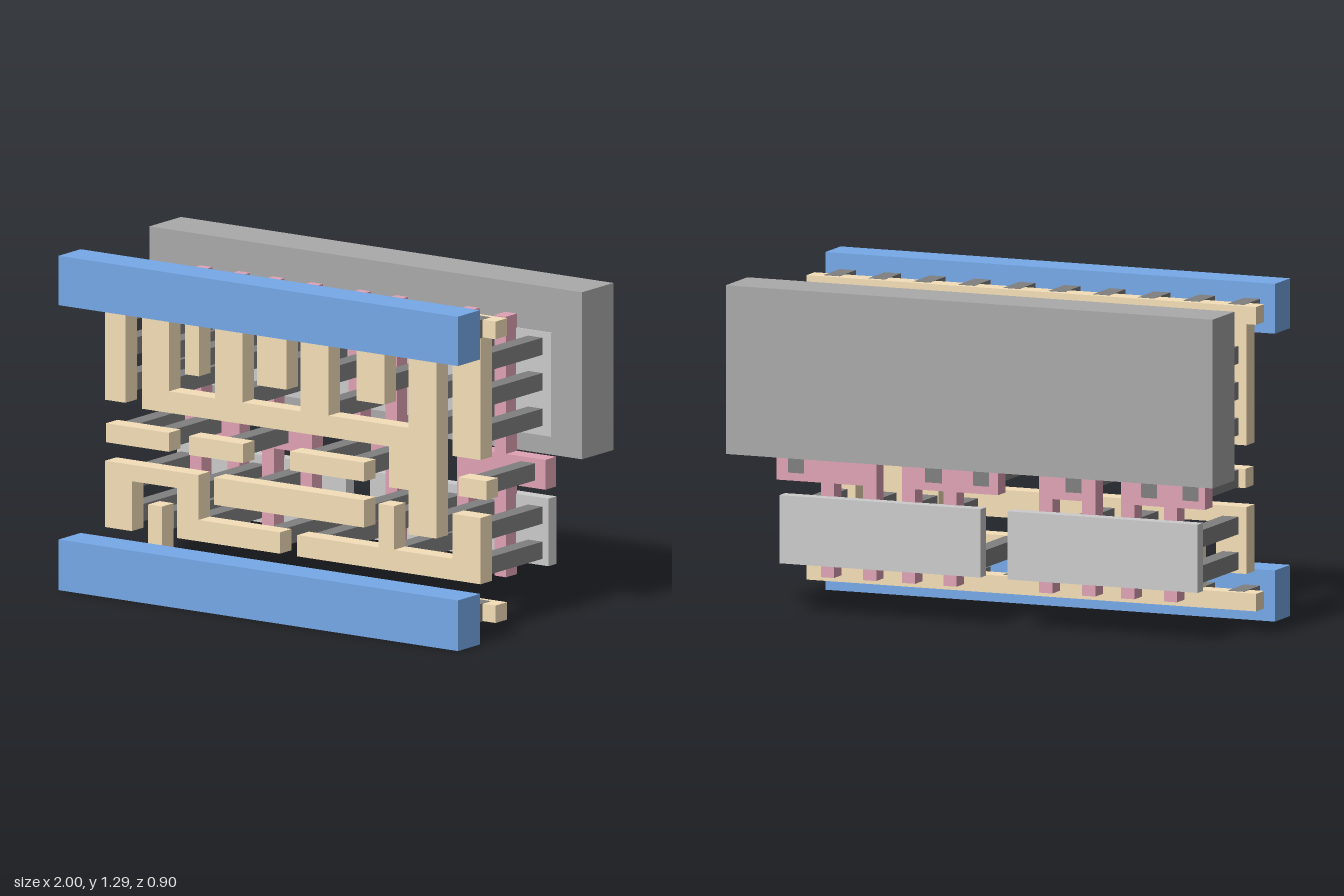
import * as THREE from 'three';

const material = (color) => new THREE.MeshStandardMaterial({ color });
const blue = material(0x76a9e8);
const tan = material(0xf5dfb8);
const pink = material(0xe0a3b5);
const darkGrey = material(0x808080);
const midGrey = material(0xaaaaaa);
const lightGrey = material(0xcccccc);

// Box given by its extents on each axis
function block(name, mat, [x0, x1], [y0, y1], [z0, z1]) {
  const mesh = new THREE.Mesh(new THREE.BoxGeometry(x1 - x0, y1 - y0, z1 - z0), mat);
  mesh.position.set((x0 + x1) / 2, (y0 + y1) / 2, (z0 + z1) / 2);
  mesh.name = name;
  return mesh;
}

// Flat outline in x and y, extruded between two depths
function plate(name, mat, points, [z0, z1]) {
  const shape = new THREE.Shape(points.map(([x, y]) => new THREE.Vector2(x, y)));
  const geometry = new THREE.ExtrudeGeometry(shape, { depth: z1 - z0, bevelEnabled: false });
  const mesh = new THREE.Mesh(geometry, mat);
  mesh.position.z = z0;
  mesh.name = name;
  return mesh;
}

const rect = (x0, x1, y0, y1) => [[x0, y0], [x1, y0], [x1, y1], [x0, y1]];

export function createModel() {
  const model = new THREE.Group();
  const layer = (name) => {
    const group = new THREE.Group();
    group.name = name;
    model.add(group);
    return group;
  };

  // Back slab and thin plates
  const base = layer('baseLayer');
  const plateZ = [-0.292, -0.24];
  base.add(
    block('backSlab', midGrey, [-1, 1], [0.625, 1.268], [-0.448, -0.245]),
    block('upperPlate', lightGrey, [-0.87, 0.862], [0.695, 1.095], plateZ),
    block('lowerPlateRight', lightGrey, [-0.87, -0.088], [0.195, 0.455], plateZ),
    block('lowerPlateLeft', lightGrey, [0.022, 0.848], [0.195, 0.455], plateZ),
  );

  // Pink upright strips joined by pads at mid height
  const strips = layer('stripLayer');
  const stripZ = [-0.245, -0.175];
  const padY = [0.505, 0.62];
  const strip = (x, y0, y1) =>
    strips.add(block('strip', pink, [x - 0.027, x + 0.027], [y0, y1], stripZ));
  for (const x of [-0.737, -0.562, -0.402, -0.225, -0.002, 0.168, 0.498, 0.672]) strip(x, padY[1], 1.148);
  for (const x of [-0.737, -0.562, -0.402, -0.225, 0.168, 0.338, 0.498, 0.672]) strip(x, 0.145, padY[0]);
  for (const span of [[-0.88, -0.535], [-0.429, -0.198], [-0.029, 0.365], [0.471, 0.88]]) {
    strips.add(block('pad', pink, span, padY, stripZ));
  }

  // Tan front metal
  const metal = layer('metalLayer');
  const metalZ = [0.13, 0.205];
  const metalPlate = (name, points) => metal.add(plate(name, tan, points, metalZ));

  // Upper rail with five hanging fingers
  const upperRail = [[-0.925, 1.225], [-0.925, 1.157]];
  const hanging = [
    [-0.885, -0.79, 0.695], [-0.515, -0.45, 0.84], [-0.18, -0.045, 0.84],
    [0.28, 0.408, 0.84], [0.722, 0.852, 0.683],
  ];
  for (const [x0, x1, y] of hanging) upperRail.push([x0, 1.157], [x0, y], [x1, y], [x1, 1.157]);
  upperRail.push([0.922, 1.157], [0.922, 1.225]);
  metalPlate('upperRail', upperRail);

  // Comb with four raised teeth and a stepped foot
  const comb = [[0.52, 0.355], [0.52, 0.525], [0.43, 0.525], [0.43, 0.682], [-0.712, 0.682]];
  const teeth = [[-0.712, -0.588], [-0.376, -0.248], [0.02, 0.15], [0.52, 0.648]];
  teeth.forEach(([x0, x1], i) => {
    if (i > 0) comb.push([x0, 0.765]);
    comb.push([x0, 1.092], [x1, 1.092], [x1, i < 3 ? 0.765 : 0.355]);
  });
  metalPlate('comb', comb);

  // Short bars in front of the pads
  for (const [x0, x1] of [[-0.88, -0.588], [-0.495, -0.247], [-0.029, 0.314], [0.75, 0.88]]) {
    metalPlate('shortBar', rect(x0, x1, 0.532, 0.605));
  }

  // Lower shapes
  metalPlate('lowerStep', [
    [-0.885, 0.205], [-0.76, 0.205], [-0.76, 0.397], [-0.55, 0.397], [-0.55, 0.205],
    [-0.075, 0.205], [-0.075, 0.287], [-0.452, 0.287], [-0.452, 0.46], [-0.885, 0.46],
  ]);
  metalPlate('middleBar', rect(-0.38, 0.314, 0.355, 0.46));
  metalPlate('lowerFork', [
    [0.005, 0.205], [0.852, 0.205], [0.852, 0.46], [0.722, 0.46], [0.722, 0.287],
    [0.452, 0.287], [0.452, 0.455], [0.38, 0.455], [0.38, 0.287], [0.005, 0.287],
  ]);
  metalPlate('lowerRail', [
    [-0.925, 0.065], [0.922, 0.065], [0.922, 0.132], [-0.62, 0.132],
    [-0.62, 0.317], [-0.685, 0.317], [-0.685, 0.132], [-0.925, 0.132],
  ]);

  // Dark posts from the metal back to plates and pads
  const posts = layer('postLayer');
  const post = (x, y, back) => posts.add(
    block('post', darkGrey, [x - 0.033, x + 0.033], [y - 0.033, y + 0.033], [back, 0.13]));
  const upperRows = [1.038, 0.902, 0.765];
  for (const x of [-0.82, -0.65, -0.31, 0.087, 0.585, 0.787]) upperRows.forEach((y) => post(x, y, -0.242));
  for (const x of [-0.483, -0.113, 0.344]) upperRows.slice(0, 2).forEach((y) => post(x, y, -0.242));
  for (const x of [-0.82, -0.65, -0.34, 0.04, 0.237, 0.8]) post(x, 0.568, -0.246);
  for (const x of [-0.82, -0.49, -0.31, 0.25, 0.417, 0.585, 0.787]) post(x, 0.388, -0.242);
  for (const x of [-0.82, -0.652, -0.49, -0.135, 0.07, 0.417, 0.787]) post(x, 0.253, -0.242);

  // Blue front beams, each tied to its rail by ten short links
  const beams = layer('beamLayer');
  for (const [y0, y1, linkY] of [[0, 0.195, 0.0985], [1.097, 1.287, 1.191]]) {
    beams.add(block('frontBeam', blue, [-0.925, 0.922], [y0, y1], [0.305, 0.448]));
    for (let i = 0; i < 10; i++) {
      const x = -0.831 + i * 0.1845;
      beams.add(block('link', darkGrey, [x - 0.033, x + 0.033], [linkY - 0.035, linkY + 0.035], [0.155, 0.305]));
    }
  }

  return model;
}
